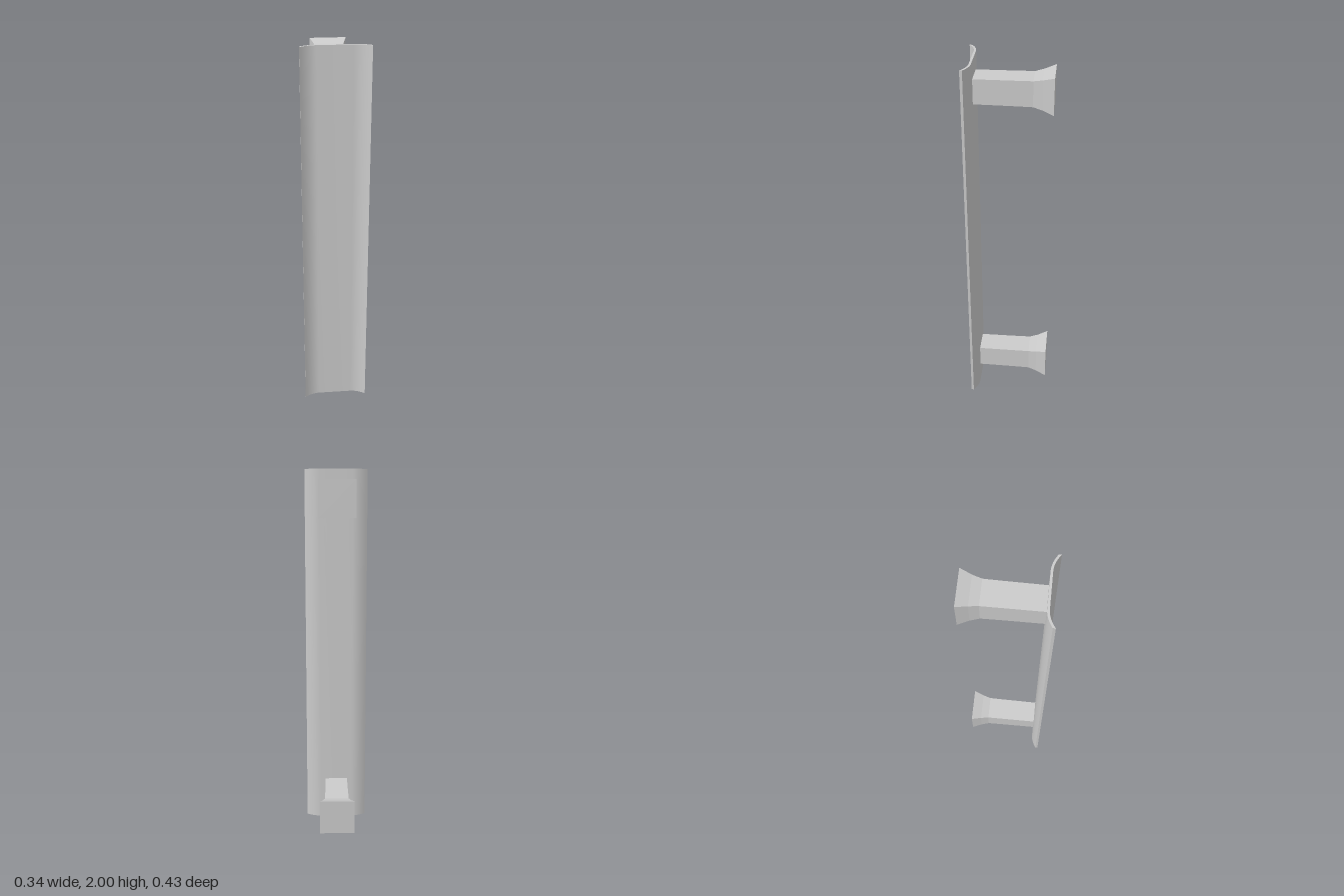
import * as THREE from 'three';
import { toCreasedNormals } from 'three/addons/utils/BufferGeometryUtils.js';

const material = new THREE.MeshStandardMaterial({ color: 0xcccccc });
const flatMaterial = new THREE.MeshStandardMaterial({ color: 0xcccccc, flatShading: true });

// Grip plate: flat in the middle, both long edges curling forward
function gripPlate() {
  const flat = 0.088, half = 0.17, steps = 8;
  const edge = (z0, rise) => {
    const right = [];
    for (let i = 0; i <= steps; i++) {
      const t = i / steps;
      right.push(new THREE.Vector2(flat + (half - flat) * t, -(z0 + rise * t * t)));
    }
    const left = right.map((p) => new THREE.Vector2(-p.x, p.y)).reverse();
    return [...left, ...right];
  };
  const shape = new THREE.Shape([...edge(0.184, 0.031), ...edge(0.173, 0.029).reverse()]);
  const extruded = new THREE.ExtrudeGeometry(shape, { depth: 2, bevelEnabled: false });
  extruded.rotateX(-Math.PI / 2);
  const mesh = new THREE.Mesh(toCreasedNormals(extruded, 0.5), material);
  mesh.name = 'gripPlate';
  return mesh;
}

// Square post flaring towards the wall: rings of [z, half width]
function mountingPost(y, name) {
  const rings = [[-0.216, 0.093], [-0.16, 0.075], [-0.115, 0.065], [-0.02, 0.064], [0.176, 0.063]];
  const n = rings.length - 1;
  const geometry = new THREE.BoxGeometry(2, 2, 1, 1, 1, n);
  const pos = geometry.attributes.position;
  for (let i = 0; i < pos.count; i++) {
    const [z, half] = rings[Math.round((pos.getZ(i) + 0.5) * n)];
    pos.setXYZ(i, pos.getX(i) * half, pos.getY(i) * half, z);
  }
  geometry.computeVertexNormals();
  const mesh = new THREE.Mesh(geometry, flatMaterial);
  mesh.position.y = y;
  mesh.name = name;
  return mesh;
}

export function createModel() {
  const group = new THREE.Group();
  group.name = 'pullHandle';
  group.add(gripPlate(), mountingPost(0.174, 'lowerPost'), mountingPost(1.854, 'upperPost'));
  return group;
}
